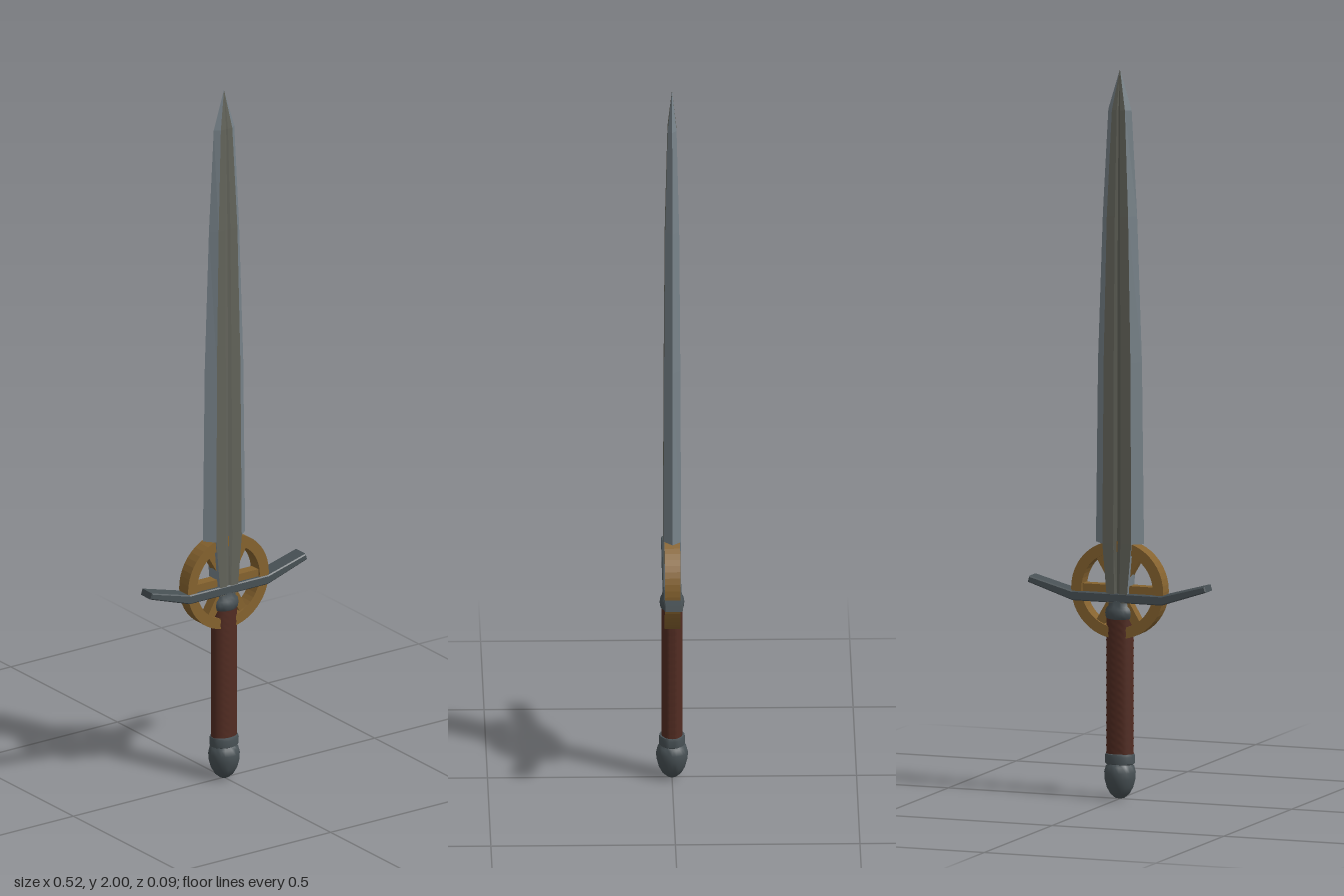
import * as THREE from 'three';
import { toCreasedNormals } from 'three/addons/utils/BufferGeometryUtils.js';

const mat = (name, color) => {
  const m = new THREE.MeshStandardMaterial({ color });
  m.name = name;
  return m;
};

// Blade lofted from ten-sided sections: [y, edge half-width, flat half-width, half-thickness]
function bladeGeometry() {
  const rows = [
    [0.54, 0.031, 0.028, 0.024], [0.70, 0.046, 0.042, 0.024], [0.702, 0.07, 0.042, 0.024],
    [1.2, 0.064, 0.039, 0.022], [1.6, 0.05, 0.031, 0.019], [1.89, 0.034, 0.019, 0.012],
    [2, 0.0004, 0.0002, 0.0002],
  ];
  const section = ([y, w, f, t]) => [
    [w, 0], [f, t], [f * 0.25, t], [0, t * 0.85], [-f * 0.25, t], [-f, t],
    [-w, 0], [-f, -t], [-f * 0.25, -t], [0, -t * 0.85], [f * 0.25, -t], [f, -t],
  ].map(([x, z]) => [x, y, z]);
  const rings = rows.map(section);
  const flats = [], bevels = [];
  for (let r = 0; r < rings.length - 1; r++) {
    const a = rings[r], b = rings[r + 1];
    for (let i = 0; i < 12; i++) {
      const j = (i + 1) % 12;
      const isBevel = i % 6 === 0 || i % 6 === 5;
      (isBevel ? bevels : flats).push(...a[i], ...b[i], ...b[j], ...a[i], ...b[j], ...a[j]);
    }
  }
  const g = new THREE.BufferGeometry();
  g.setAttribute('position', new THREE.Float32BufferAttribute([...flats, ...bevels], 3));
  g.addGroup(0, flats.length / 3, 0);
  g.addGroup(flats.length / 3, bevels.length / 3, 1);
  g.computeVertexNormals();
  return g;
}

function extrude(shape, depth, bevel = 0) {
  const g = new THREE.ExtrudeGeometry(shape, {
    depth: depth - 2 * bevel, curveSegments: 24, bevelEnabled: bevel > 0,
    bevelSize: bevel, bevelThickness: bevel, bevelOffset: -bevel, bevelSegments: 1,
  });
  return g.translate(0, 0, bevel - depth / 2);
}

function lathe(points, sides, zScale = 1) {
  const g = new THREE.LatheGeometry(points.map(p => new THREE.Vector2(...p)), sides);
  g.scale(1, 1, zScale);
  return toCreasedNormals(g, 0.7);
}

export function createModel() {
  const model = new THREE.Group();
  model.name = 'sword';
  const steel = mat('bladeSteel', 0x62635a);
  const edge = mat('edgeSteel', 0x78838a);
  const iron = mat('darkIron', 0x485155);
  const brass = mat('agedBrass', 0x86632f);
  const leather = mat('redLeather', 0x522c22);
  const add = (name, geometry, material, parent = model) => {
    const m = new THREE.Mesh(geometry, material);
    m.name = name;
    parent.add(m);
    return m;
  };

  add('blade', bladeGeometry(), [steel, edge]);

  // Spoked wheel behind the guard
  const wheel = new THREE.Group();
  wheel.name = 'wheel';
  wheel.position.y = 0.575;
  model.add(wheel);
  const ring = new THREE.Shape().absarc(0, 0, 0.134, 0, Math.PI * 2);
  ring.holes.push(new THREE.Path().absarc(0, 0, 0.104, 0, Math.PI * 2, true));
  add('wheelRim', extrude(ring, 0.042), brass, wheel);
  for (let i = 0; i < 3; i++) {
    const spoke = add('wheelSpokes', new THREE.BoxGeometry(0.22, 0.024, 0.03), brass, wheel);
    spoke.rotation.z = i * Math.PI / 3;
  }

  // Crossguard with raised arms
  const half = [[0.13, 0.54], [0.26, 0.583], [0.255, 0.6], [0.13, 0.566]];
  const outline = [...half, ...half.map(([x, y]) => [-x, y]).reverse()];
  const guard = new THREE.Shape(outline.map(p => new THREE.Vector2(...p)));
  add('crossguard', extrude(guard, 0.05, 0.003), iron);

  // Wrapped oval grip
  const gripProfile = [];
  for (let i = 0; i <= 38; i++) {
    gripProfile.push([0.0375 + (i % 2 ? 0.0012 : 0), 0.115 + i * 0.0103]);
  }
  add('grip', lathe(gripProfile, 24, 0.75), leather);

  // Collars and pommel
  add('upperCollar', lathe([[0.034, 0.492], [0.04, 0.498], [0.042, 0.51], [0.04, 0.522],
    [0.034, 0.53], [0.032, 0.545], [0, 0.545]], 24, 0.8), iron);
  add('lowerCollar', lathe([[0.034, 0.094], [0.041, 0.098], [0.042, 0.117],
    [0.04, 0.124], [0.03, 0.126]], 24, 0.85), iron);
  add('pommel', lathe([[0, 0], [0.013, 0.003], [0.026, 0.014], [0.036, 0.032], [0.0425, 0.056],
    [0.043, 0.074], [0.039, 0.09], [0.031, 0.099], [0, 0.1]], 24), iron);
  return model;
}
